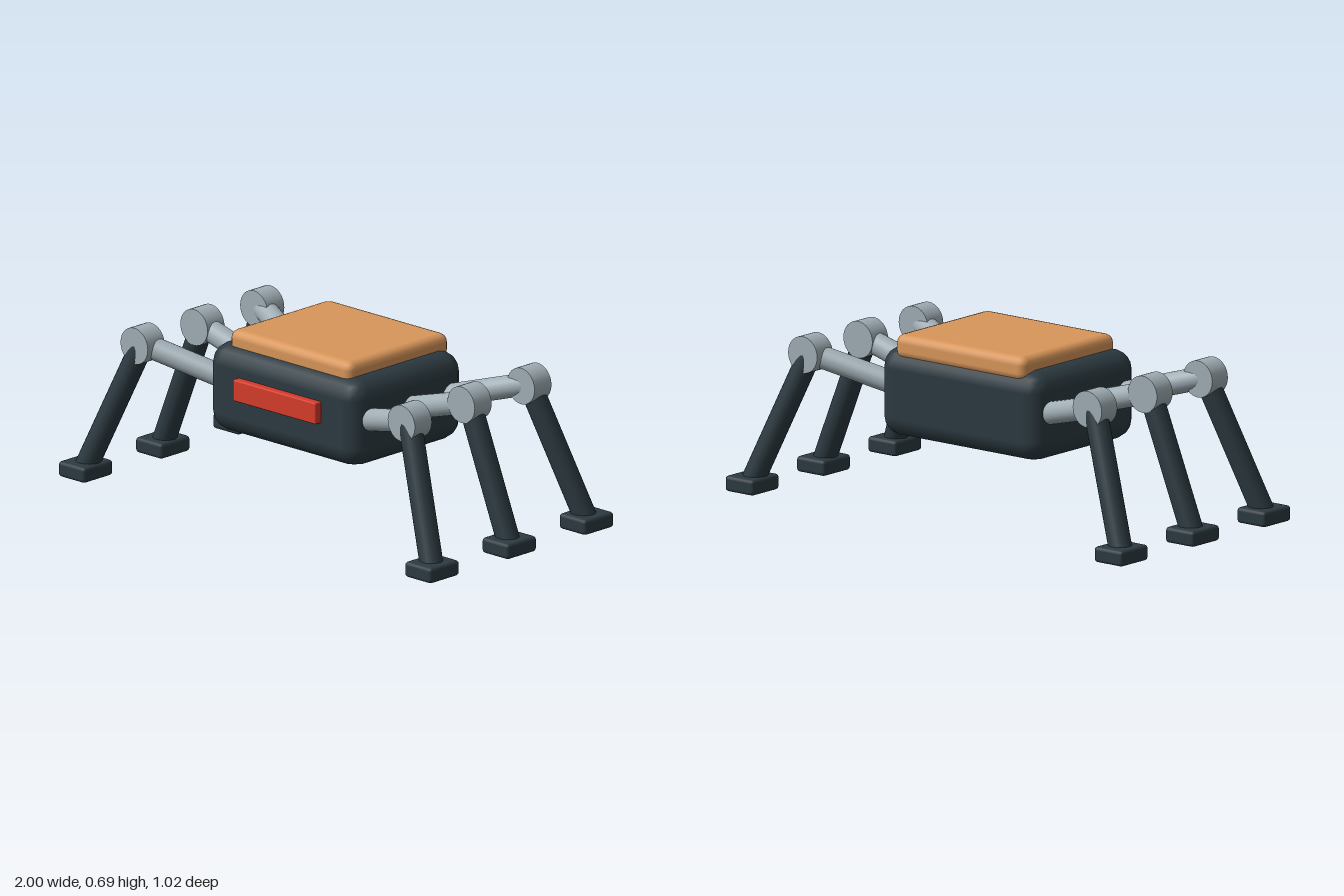
import * as THREE from 'three';
import { RoundedBoxGeometry } from 'three/addons/geometries/RoundedBoxGeometry.js';

const material = (name, color) => {
  const m = new THREE.MeshStandardMaterial({ color });
  m.name = name;
  return m;
};

function addMesh(parent, name, geometry, mat, x = 0, y = 0, z = 0) {
  const mesh = new THREE.Mesh(geometry, mat);
  mesh.name = name;
  mesh.position.set(x, y, z);
  parent.add(mesh);
  return mesh;
}

// Round bar running between two points
function addBar(parent, name, from, to, radius, mat) {
  const dir = to.clone().sub(from);
  const mesh = addMesh(parent, name, new THREE.CylinderGeometry(radius, radius, dir.length(), 24), mat);
  mesh.position.copy(from).add(to).multiplyScalar(0.5);
  mesh.quaternion.setFromUnitVectors(new THREE.Vector3(0, 1, 0), dir.normalize());
  return mesh;
}

export function createModel() {
  const dark = material('dark slate', 0x2c3a41);
  const steel = material('light steel', 0xa0aeb5);
  const orange = material('orange', 0xd8965a);
  const red = material('red', 0xd63b2b);

  const model = new THREE.Group();
  model.name = 'sixLeggedRobot';

  // Body, top cover and front panel
  addMesh(model, 'body', new RoundedBoxGeometry(0.81, 0.355, 0.622, 2, 0.08), dark, 0, 0.453, 0);
  addMesh(model, 'topCover', new RoundedBoxGeometry(0.655, 0.1, 0.56, 2, 0.035), orange, 0, 0.638, -0.018);
  addMesh(model, 'frontPanel', new RoundedBoxGeometry(0.444, 0.087, 0.036, 2, 0.006), red, 0, 0.482, 0.328);

  // Three legs on each side; the outer pairs splay forward and back
  for (const side of [1, -1]) {
    for (const row of [1, 0, -1]) {
      const leg = new THREE.Group();
      leg.name = `${side > 0 ? 'left' : 'right'}${row > 0 ? 'Front' : row < 0 ? 'Back' : 'Middle'}Leg`;
      const hip = new THREE.Vector3(side * 0.32, 0.447, row * 0.19);
      const knee = new THREE.Vector3(side * 0.716, 0.56, row * 0.333);
      const ankle = new THREE.Vector3(side * 0.93, 0.03, row * 0.43);

      addBar(leg, 'upperLeg', hip, knee, 0.045, steel);
      addBar(leg, 'lowerLeg', knee, ankle, 0.046, dark);
      const joint = new THREE.CylinderGeometry(0.073, 0.073, 0.094, 32).rotateX(Math.PI / 2);
      addMesh(leg, 'kneeJoint', joint, steel, knee.x, knee.y, knee.z);
      addMesh(leg, 'foot', new RoundedBoxGeometry(0.143, 0.062, 0.164, 2, 0.014), dark, side * 0.9285, 0.031, ankle.z);
      model.add(leg);
    }
  }
  return model;
}
